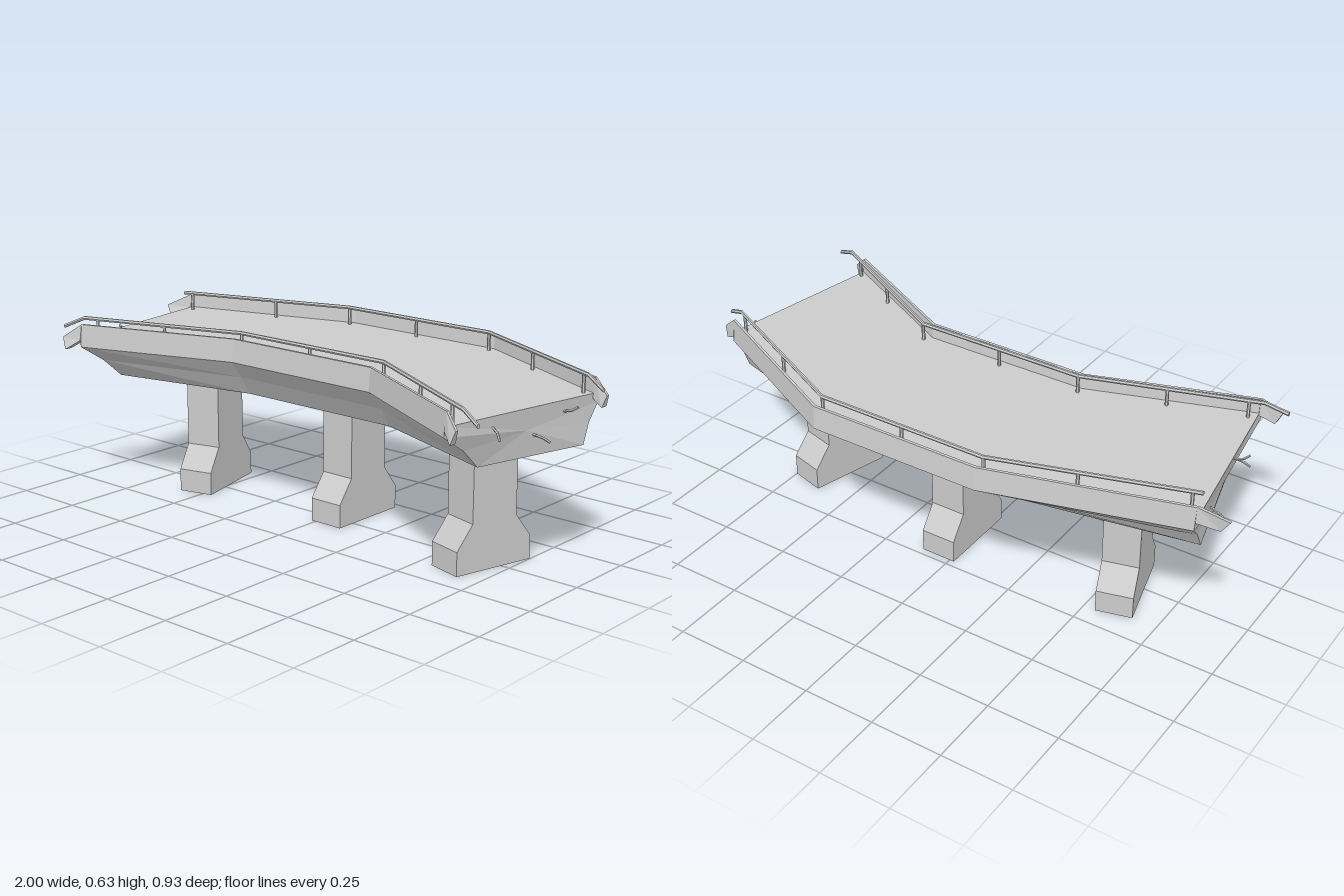
import * as THREE from 'three';

const material = new THREE.MeshStandardMaterial({ color: 0xcccccc, flatShading: true, side: THREE.DoubleSide });

// Joins equal-length rings of [x, y, z] points into a faceted skin, with optional end caps
function loft(rings, capped = true) {
  const pos = [];
  const tri = (a, b, c) => pos.push(...a, ...b, ...c);
  const n = rings[0].length;
  for (let s = 0; s < rings.length - 1; s++) {
    for (let i = 0; i < n; i++) {
      const j = (i + 1) % n;
      const [a, b, c, d] = [rings[s][i], rings[s][j], rings[s + 1][j], rings[s + 1][i]];
      tri(a, b, c);
      tri(a, c, d);
    }
  }
  const cap = (ring, flip) => {
    const mid = [0, 1, 2].map(k => ring.reduce((sum, p) => sum + p[k], 0) / n);
    ring.forEach((p, i) => {
      const q = ring[(i + 1) % n];
      flip ? tri(mid, q, p) : tri(mid, p, q);
    });
  };
  if (capped) {
    cap(rings[0], true);
    cap(rings[rings.length - 1], false);
  }
  const g = new THREE.BufferGeometry();
  g.setAttribute('position', new THREE.Float32BufferAttribute(pos, 3));
  g.computeVertexNormals();
  return g;
}

function add(parent, name, geometry) {
  const mesh = new THREE.Mesh(geometry, material);
  mesh.name = name;
  parent.add(mesh);
  return mesh;
}

// Deck slab: skewed ends, two bends
function makeDeck() {
  // Cross-section corners: height, x of the left and right ends, then z at each of four stations
  const rows = [
    [0.41, -0.785, 0.82, 0.222, 0.11, 0.11, 0.28],
    [0.41, -0.89, 0.925, -0.178, -0.29, -0.29, -0.12],
    [0.475, -0.895, 0.925, -0.218, -0.36, -0.36, -0.145],
    [0.535, -0.91, 0.93, -0.28, -0.465, -0.465, -0.185],
    [0.565, -0.91, 0.93, -0.265, -0.45, -0.45, -0.17],
    [0.565, -0.81, 0.82, 0.365, 0.18, 0.18, 0.43],
    [0.535, -0.81, 0.82, 0.38, 0.195, 0.195, 0.445],
    [0.475, -0.795, 0.82, 0.292, 0.15, 0.15, 0.35],
  ];
  return loft([0, 1, 2, 3].map(s => rows.map(r => [[r[1], -0.26, 0.35, r[2]][s], r[0], r[3 + s]])));
}

// Tapered kerb wall following [x, z, bottom, top, lean] points; lean pulls the bottom along x
function makeParapet(path) {
  return loft(path.map(([x, z, bottom = 0.535, top = 0.613, lean = 0]) => [
    [x + lean, bottom, z + 0.014],
    [x + lean, bottom, z - 0.014],
    [x, top, z - 0.005],
    [x, top, z + 0.005],
  ]));
}

// Six-sided rail following [x, z, drop] points
function makeRail(path) {
  return loft(path.map(([x, z, drop = 0]) => Array.from({ length: 6 }, (_, i) => {
    const a = i * Math.PI / 3;
    return [x, 0.626 - drop + 0.007 * Math.sin(a), z - 0.007 * Math.cos(a)];
  })));
}

// Pier with a flared foot, open at the bottom
function makePier() {
  const w = 0.0625;
  const levels = [[0, 0.147], [0.08, 0.147], [0.16, 0.087], [0.412, 0.087]];
  return loft(levels.map(([y, d]) => [[-w, y, d], [w, y, d], [w, y, -d], [-w, y, -d]]), false);
}

// Short bent bar sticking out of a broken end
function makeBar(x, y, z, side, dy, dz) {
  const curve = new THREE.CatmullRomCurve3([
    new THREE.Vector3(x - side * 0.02, y, z),
    new THREE.Vector3(x + side * 0.02, y + dy * 0.3, z + dz * 0.3),
    new THREE.Vector3(x + side * 0.04, y + dy, z + dz),
  ]);
  return new THREE.TubeGeometry(curve, 3, 0.004, 5);
}

export function createModel() {
  const model = new THREE.Group();
  model.name = 'bridgeSection';
  add(model, 'deck', makeDeck());

  // Parapets: full height over the deck, thinner drooping tips past the broken ends
  add(model, 'backParapet', makeParapet([
    [-1.0, -0.22, 0.53, 0.566, 0.025], [-0.912, -0.264, 0.562], [-0.91, -0.265], [-0.26, -0.451],
    [0.355, -0.451], [0.925, -0.173], [0.927, -0.172, 0.55], [0.982, -0.155, 0.53, 0.568, -0.012],
  ]));
  add(model, 'frontParapet', makeParapet([
    [-0.877, 0.397, 0.525, 0.566, 0.02], [-0.812, 0.367, 0.558], [-0.81, 0.366], [-0.26, 0.181],
    [0.335, 0.181], [0.82, 0.431], [0.822, 0.432, 0.555], [0.873, 0.455, 0.525, 0.568, -0.014],
  ]));

  // Guard rails, bent down where they overhang
  add(model, 'backRail', makeRail([
    [-0.9, -0.212], [-0.26, -0.411], [0.355, -0.411], [0.925, -0.135], [0.995, -0.108, 0.03],
  ]));
  add(model, 'frontRail', makeRail([
    [-0.91, 0.362, 0.033], [-0.84, 0.332], [-0.26, 0.145], [0.355, 0.145], [0.875, 0.428], [0.948, 0.457, 0.03],
  ]));

  // Rail posts at the bends, the middles and the ends
  const posts = {
    backPost: [[-0.87, -0.221], [-0.54, -0.324], [-0.26, -0.411], [0.045, -0.411], [0.355, -0.411], [0.62, -0.283], [0.9, -0.147]],
    frontPost: [[-0.79, 0.316], [-0.54, 0.235], [-0.26, 0.145], [0.045, 0.145], [0.355, 0.145], [0.61, 0.284], [0.81, 0.393]],
  };
  for (const [name, spots] of Object.entries(posts)) {
    for (const [x, z] of spots) {
      add(model, name, new THREE.CylinderGeometry(0.006, 0.006, 0.065, 6)).position.set(x, 0.592, z);
    }
  }

  // Piers, turned to follow the bend
  for (const [name, x, z, turn] of [
    ['leftPier', 0.65, 0.013, -0.26], ['middlePier', 0.046, -0.079, 0], ['rightPier', -0.565, -0.026, 0.26],
  ]) {
    const pier = add(model, name, makePier());
    pier.position.set(x, 0, z);
    pier.rotation.y = turn;
  }

  // Exposed reinforcing bars: side, x, y, z, rise, sideways bend
  for (const [side, x, y, z, dy, dz] of [
    [1, 0.84, 0.54, 0.25, -0.045, 0.006], [1, 0.885, 0.48, 0.085, -0.022, -0.022], [1, 0.905, 0.528, -0.038, 0.018, -0.014],
    [-1, -0.88, 0.5, -0.1, -0.04, 0.01], [-1, -0.85, 0.54, 0.11, 0.02, 0.02], [-1, -0.82, 0.48, 0.2, -0.02, 0.01],
  ]) {
    add(model, 'reinforcingBar', makeBar(x, y, z, side, dy, dz));
  }
  return model;
}
